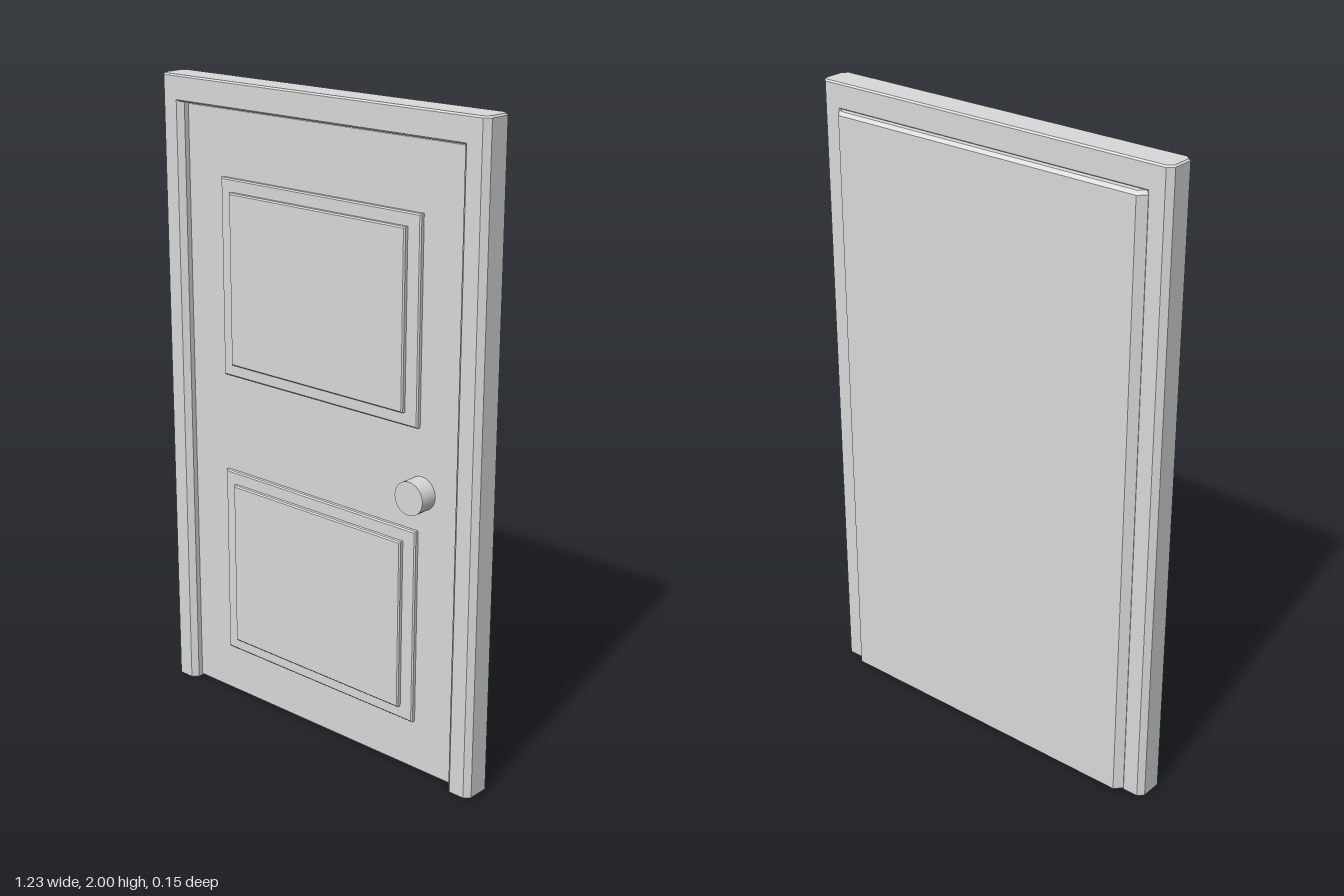
import * as THREE from 'three';

export function createModel() {
  const group = new THREE.Group();
  group.name = 'door';
  const paint = new THREE.MeshStandardMaterial({ color: 0xd9d9d9 });
  paint.name = 'light grey paint';

  const add = (name, geometry, x = 0, y = 0, z = 0) => {
    const mesh = new THREE.Mesh(geometry, paint);
    mesh.name = name;
    mesh.position.set(x, y, z);
    group.add(mesh);
  };

  // Polygon extruded along +z from 0 to depth, with a small bevel inside its outline
  const bevelled = (points, depth, bevel) => {
    const shape = new THREE.Shape(points.map(([x, y]) => new THREE.Vector2(x, y)));
    const geometry = new THREE.ExtrudeGeometry(shape, {
      depth: depth - 2 * bevel,
      bevelSegments: 1,
      bevelThickness: bevel,
      bevelSize: bevel,
      bevelOffset: -bevel,
    });
    return geometry.translate(0, 0, bevel);
  };

  // Plan polygon (x and -z, counter-clockwise) raised from y0 to y1
  const upright = (plan, y0, y1, bevel) =>
    bevelled(plan, y1 - y0, bevel).rotateX(-Math.PI / 2).translate(0, y0, 0);

  const rectangle = (w, h) => [[-w / 2, -h / 2], [w / 2, -h / 2], [w / 2, h / 2], [-w / 2, h / 2]];

  // Frame: full-height chamfered jambs with a header set flush between them
  const j = 0.0425, d = 0.0505, c = 0.017;
  const jambPlan = [[j - c, -d], [j, -d + c], [j, d - c], [j - c, d],
    [-j + c, d], [-j, d - c], [-j, -d + c], [-j + c, -d]];
  for (const side of [-1, 1]) {
    add(side > 0 ? 'leftJamb' : 'rightJamb', upright(jambPlan, 0, 2, 0.005), side * 0.574);
  }
  add('frameHeader', upright(rectangle(1.17, 2 * d), 1.92, 2, 0.005));

  // Door leaf, chamfered and standing proud of the frame at the back
  const leafFront = 0.017;
  const leafPlan = [[-0.55, -leafFront], [0.55, -leafFront], [0.55, 0.052], [0.528, 0.075],
    [-0.528, 0.075], [-0.55, 0.052]];
  add('doorLeaf', upright(leafPlan, 0, 1.922, 0.01));

  // Stepped raised panels
  for (const [name, y] of [['upperPanel', 1.403], ['lowerPanel', 0.474]]) {
    add(name + 'Border', bevelled(rectangle(0.77, 0.615), 0.024, 0.004), 0, y, leafFront - 0.01);
    add(name + 'Field', bevelled(rectangle(0.68, 0.535), 0.024, 0.004), 0, y, leafFront + 0.004);
  }

  // Knob
  add('knob', new THREE.CylinderGeometry(0.051, 0.051, 0.064, 32).rotateX(Math.PI / 2), 0.394, 0.9, 0.043);

  return group;
}
